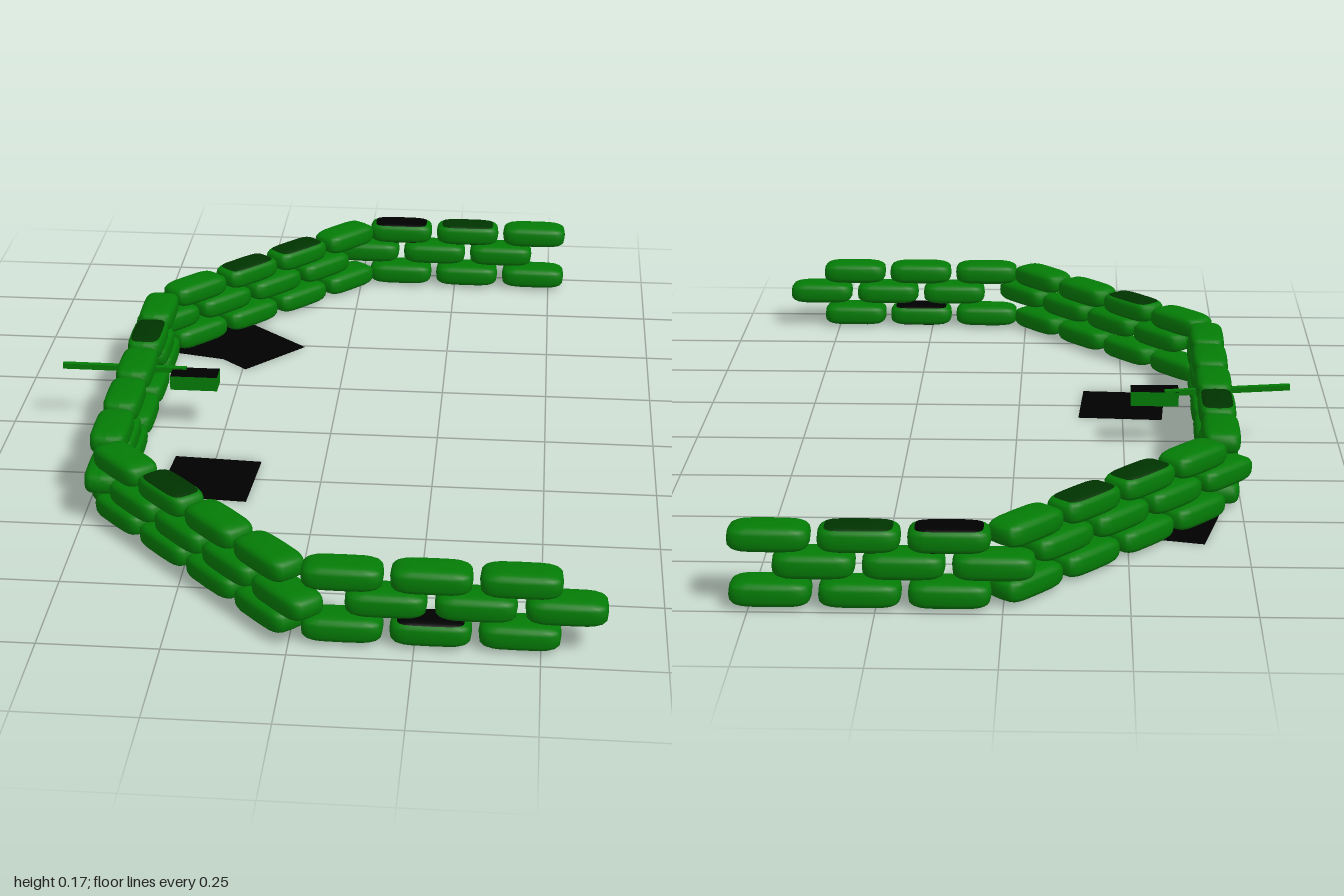
import * as THREE from 'three';

function material(name, color, side = THREE.FrontSide) {
  const m = new THREE.MeshStandardMaterial({ color, side });
  m.name = name;
  return m;
}
const green = material('bag green', 0x047c06);
const dark = material('dark green', 0x003300);
const black = material('black', 0x000000, THREE.DoubleSide);

// Stuffed pillow: a sphere squared off towards a box, grouped as top, body and underside
function bagGeometry(hx, hy, hz) {
  const g = new THREE.SphereGeometry(1, 20, 12);
  const p = g.attributes.position;
  const pow = (v, e) => Math.sign(v) * Math.abs(v) ** e;
  for (let i = 0; i < p.count; i++) {
    const x = p.getX(i), y = p.getY(i), z = p.getZ(i);
    const r = Math.hypot(x, z) || 1;
    const ring = r < 1e-5 ? 0 : pow(Math.min(r, 1), 0.55);
    p.setXYZ(i, hx * ring * pow(x / r, 0.45), hy * pow(y, 0.6), hz * ring * pow(z / r, 0.45));
  }
  g.computeVertexNormals();
  const cap = 300, total = g.index.count;
  g.addGroup(0, cap, 0);
  g.addGroup(cap, total - 2 * cap, 1);
  g.addGroup(total - cap, cap, 2);
  return g;
}

export function createModel() {
  const model = new THREE.Group();
  model.name = 'sandbagWall';
  const bagGeo = bagGeometry(0.082, 0.0275, 0.042);

  function add(name, geo, mat, x, y, z, turn = 0) {
    const m = new THREE.Mesh(geo, mat);
    m.name = name;
    m.position.set(x, y, z);
    m.rotation.y = turn;
    model.add(m);
    return m;
  }

  // A run of bags in one layer from a start point, along a direction in plan;
  // caps gives the bags whose top and underside have another colour
  const step = 0.173;
  const bottom = 0.03, middle = 0.09, top = 0.146;
  function run(name, y, x, z, dx, dz, count, caps = {}) {
    const turn = Math.atan2(-dz, dx);
    for (let i = 0; i < count; i++) {
      const cap = caps[i] || green;
      add(name, bagGeo, [cap, green, cap], x + dx * step * i, y, z + dz * step * i, turn);
    }
  }

  // Bottom and top layers
  const caps = {
    [bottom]: { frontArm: { 1: black } },
    [top]: {
      frontDiagonal: { 1: dark }, straight: { 3: dark },
      backDiagonal: { 1: dark, 2: dark }, backArm: { 0: black, 1: dark },
    },
  };
  for (const y of [bottom, top]) {
    run('frontArmBag', y, 0.105, 0.92, 1.02, 0, 3, caps[y].frontArm);
    run('frontDiagonalBag', y, -0.4, 0.485, 0.68, 0.733, 4, caps[y].frontDiagonal);
    run('straightBag', y, -0.455, 0.33, 0, -0.98, 5, caps[y].straight);
    run('backDiagonalBag', y, -0.387, -0.505, 0.664, -0.748, 4, caps[y].backDiagonal);
    run('backArmBag', y, 0.105, -0.958, 1.02, 0, 3, caps[y].backArm);
  }

  // Middle layer, staggered by half a bag, with a firing slit
  run('frontArmBag', middle, 0.192, 0.92, 1.03, 0, 3);
  run('frontDiagonalBag', middle, -0.358, 0.537, 0.68, 0.733, 4);
  run('straightBag', middle, -0.455, 0.41, 0, -0.98, 2);
  run('straightBag', middle, -0.455, -0.265, 0, -1, 1);
  run('backDiagonalBag', middle, -0.447, -0.438, 0.664, -0.748, 4);
  run('backArmBag', middle, 0.018, -0.958, 1.02, 0, 3);

  // Flat ground sheets
  const sheet = new THREE.PlaneGeometry(0.2, 0.2).rotateX(-Math.PI / 2);
  add('groundSheet', sheet, black, -0.25, 0, 0.255, -0.06);
  add('groundSheet', sheet, black, -0.25, 0.001, -0.483, 0.84);
  add('groundSheet', sheet, black, -0.336, 0, -0.51, -0.23);

  // Mounted gun: body with black top and underside, and barrel through the wall
  const bodyFaces = [green, green, black, black, green, green];
  add('gunBody', new THREE.BoxGeometry(0.11, 0.034, 0.053), bodyFaces, -0.32, 0.119, -0.018);
  const barrel = add('gunBarrel', new THREE.BoxGeometry(0.29, 0.013, 0.013), green, -0.487, 0.138, -0.028, 0.07);
  barrel.rotation.z = -0.035;

  return model;
}
